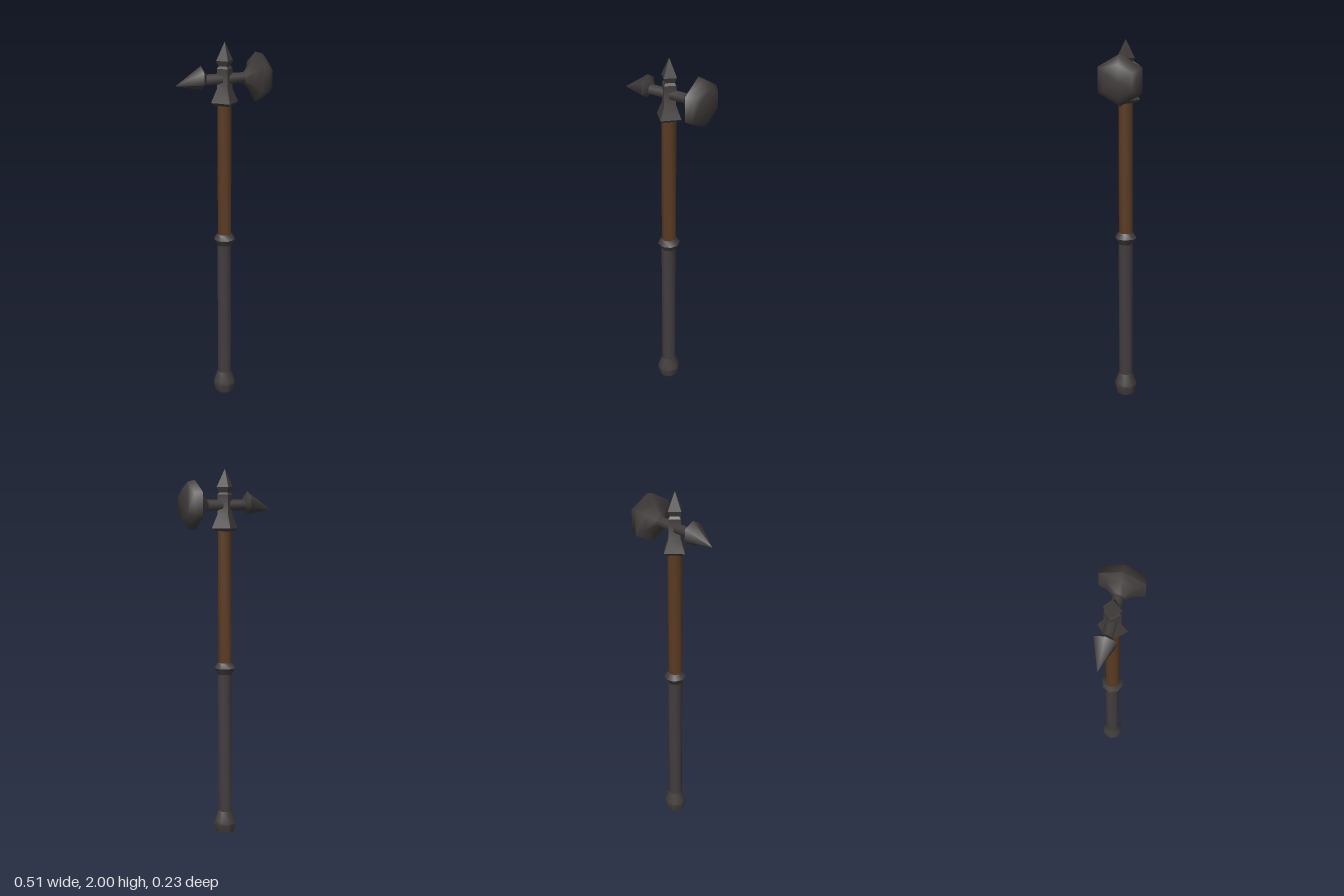
import * as THREE from 'three';
import { toCreasedNormals } from 'three/addons/utils/BufferGeometryUtils.js';

export function createModel() {
  const model = new THREE.Group();
  model.name = 'warHammer';
  const material = (name, color) => {
    const m = new THREE.MeshStandardMaterial({ color });
    m.name = name;
    return m;
  };
  const iron = material('dark iron', 0x413c3c);
  const leather = material('grip leather', 0x423d3f);
  const wood = material('brown wood', 0x5a3b23);

  // Faceted turned solid; profile is a list of [radius, height], bottom to top
  const turned = (profile, sides, crease = 1.1, start = 0) =>
    toCreasedNormals(
      new THREE.LatheGeometry(profile.map(([r, y]) => new THREE.Vector2(r, y)), sides, start),
      crease
    );
  const add = (name, geometry, mat, x, y) => {
    const mesh = new THREE.Mesh(geometry, mat);
    mesh.name = name;
    mesh.position.set(x, y, 0);
    model.add(mesh);
    return mesh;
  };
  const axis = 0.015;

  // Handle
  add('pommel', turned([[0, 0], [0.052, 0], [0.064, 0.05], [0.06, 0.065], [0.04, 0.122]], 8, 0.9), iron, axis, 0);
  add('grip', turned([[0.04, 0.11], [0.04, 0.92]], 8), leather, axis, 0);
  add('gripCollar', turned([[0.04, 0.9], [0.06, 0.935], [0.04, 0.965]], 8, 0.9), iron, axis, 0);
  add('shaft', turned([[0.039, 0.95], [0.039, 1.69]], 8), wood, axis, 0);

  // Square socket and top spike, corners on the axes
  add('socket', turned([
    [0, 1.675], [0.055, 1.675], [0.075, 1.69], [0.048, 1.75],
    [0.043, 1.76], [0.043, 1.865], [0.03, 1.88],
  ], 4, 0.5), iron, axis, 0);
  add('topSpike', turned([[0.03, 1.873], [0.047, 1.905], [0, 2]], 4, 0.5), iron, axis, 0);

  // Horizontal parts: hexagonal, one corner upward, running along +x
  const along = (profile, crease) =>
    turned(profile, 6, crease, Math.PI / 2).rotateZ(-Math.PI / 2);
  add('crossBar', along([[0.029, -0.11], [0.029, 0.13]]), iron, 0, 1.811);
  add('hammerHead', along([
    [0.03, 0.12], [0.08, 0.163], [0.131, 0.185], [0.12, 0.225], [0.085, 0.253], [0, 0.253],
  ]), iron, 0, 1.811);

  // Back spike, its tip bent downward
  const beak = along([[0, -0.253], [0.062, -0.115], [0.03, -0.093], [0, -0.093]], 1.1);
  const p = beak.attributes.position;
  for (let i = 0; i < p.count; i++) {
    const t = Math.max(0, (-0.115 - p.getX(i)) / 0.138);
    p.setY(i, p.getY(i) - 0.035 * t);
  }
  add('backSpike', toCreasedNormals(beak, 1.1), iron, 0, 1.823);

  return model;
}
